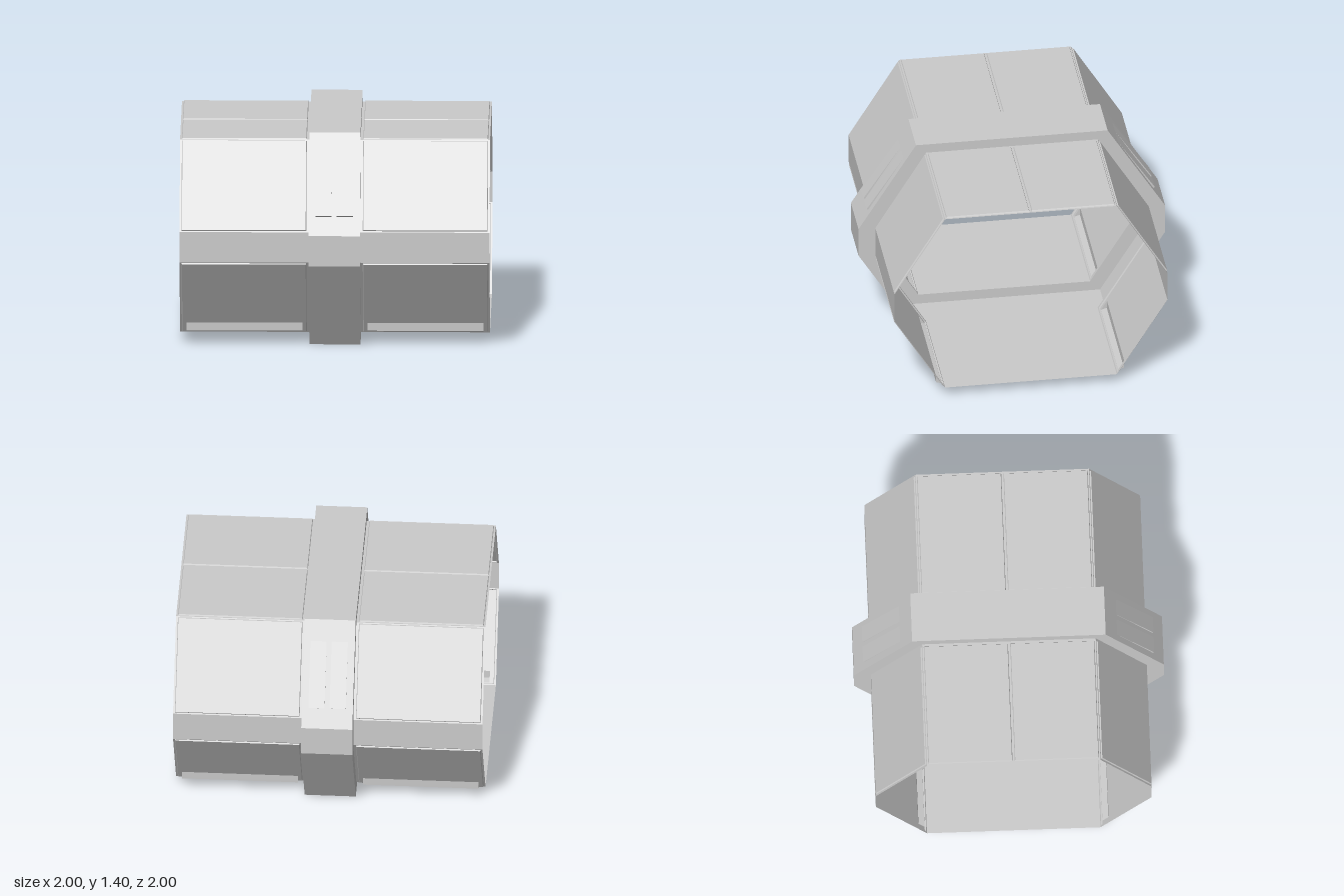
import * as THREE from 'three';

const material = new THREE.MeshStandardMaterial({ color: 0xcccccc, side: THREE.DoubleSide, flatShading: true });

// Half profiles [y, z], from bottom centre round the front to top centre
const HULL = [[0.067, 0], [0.067, 0.56], [0.6, 0.89], [0.8, 0.89], [1.338, 0.56], [1.338, 0]];
const BAND = [[0, 0], [0, 0.625], [0.6, 1], [0.8, 1], [1.4, 0.625], [1.4, 0]];
const RIB = 0.165; // half width of the central rib

function mesh(name, geometry) {
  const m = new THREE.Mesh(geometry, material);
  m.name = name;
  return m;
}

// Group whose local axes are: x along the tunnel, y along the facet, z outward
function facetFrame(name, a, b) {
  const g = new THREE.Group();
  g.name = name;
  const X = new THREE.Vector3(1, 0, 0);
  const V = new THREE.Vector3(0, b[0] - a[0], b[1] - a[1]);
  const length = V.length();
  V.normalize();
  const N = X.clone().cross(V);
  g.quaternion.setFromRotationMatrix(new THREE.Matrix4().makeBasis(X, V, N));
  g.position.set(0, a[0], a[1]);
  return { g, length };
}

const corners = ([x0, x1, v0, v1]) => [[x0, v0], [x1, v0], [x1, v1], [x0, v1]];

// Flat rectangular sheet with rectangular openings
function sheet(name, rect, holes = [], h = 0) {
  const toPoints = r => corners(r).map(p => new THREE.Vector2(...p));
  const shape = new THREE.Shape(toPoints(rect));
  holes.forEach(r => shape.holes.push(new THREE.Path(toPoints(r).reverse())));
  return mesh(name, new THREE.ShapeGeometry(shape).translate(0, 0, h));
}

// Surface from a few flat polygons, each split as a fan
function faces(name, polygons) {
  const pos = [];
  for (const p of polygons)
    for (let i = 1; i < p.length - 1; i++) pos.push(...p[0], ...p[i], ...p[i + 1]);
  const geo = new THREE.BufferGeometry();
  geo.setAttribute('position', new THREE.Float32BufferAttribute(pos, 3));
  geo.computeVertexNormals();
  return mesh(name, geo);
}

// Raised plate with a narrow bevelled border
function raisedPanel(g, rect, holes) {
  const h = 0.008, inset = 0.004;
  const [x0, x1, v0, v1] = rect;
  const top = [x0 + inset, x1 - inset, v0 + inset, v1 - inset];
  const lo = corners(rect), hi = corners(top);
  g.add(sheet('panel', top, holes, h));
  g.add(faces('panelBevel', lo.map((p, i) => {
    const j = (i + 1) % 4;
    return [[...p, 0], [...lo[j], 0], [...hi[j], h], [...hi[i], h]];
  })));
}

// Hollow wedge over an opening: section points [v, h] of foot, ridge and tip
function wedge(name, x0, x1, foot, ridge, tip) {
  const at = (x, p) => [x, ...p];
  return faces(name, [
    [at(x0, foot), at(x1, foot), at(x1, ridge), at(x0, ridge)],
    [at(x0, ridge), at(x1, ridge), at(x1, tip), at(x0, tip)],
    [at(x0, foot), at(x0, ridge), at(x0, tip)],
    [at(x1, foot), at(x1, tip), at(x1, ridge)],
  ]);
}

// One hull facet on one side of the rib
function hullFacet(i, side) {
  const names = ['floor', 'lowerSlope', 'sideWall', 'upperSlope', 'roof'];
  const { g, length } = facetFrame(names[i], HULL[i], HULL[i + 1]);
  const span = (a, b) => side > 0 ? [a, b] : [-b, -a];
  const rect = [...span(RIB, 1), 0, length];
  if (i === 0 || i === 2) {
    g.add(sheet('skin', rect));
    return g;
  }
  const panel = [...span(0.182, 0.988), 0.009, length - 0.007];
  g.add(sheet('skin', rect, [panel]));
  if (i === 1) {
    const vent = span(0.21, 0.958);
    raisedPanel(g, panel, [[...vent, 0.015, 0.091]]);
    g.add(wedge('ventLedge', ...vent, [0.015, 0.008], [0.045, 0.034], [0.091, 0.008]));
  } else raisedPanel(g, panel, []);
  return g;
}

// One outer facet of the rib, with two tapered flaps on the upper slope
function ribFacet(i) {
  const { g, length } = facetFrame('ribFacet', BAND[i], BAND[i + 1]);
  const flaps = i === 3 ? [[-0.123, -0.018], [0.014, 0.119]] : [];
  g.add(sheet('ribSkin', [-RIB, RIB, 0, length], flaps.map(f => [...f, 0.132, 0.566])));
  for (const f of flaps) g.add(wedge('ribFlap', ...f, [0.132, 0], [0.133, 0.012], [0.566, 0]));
  return g;
}

// Side wall of the rib: band outline with the hull outline cut out
function ribWall(x) {
  const loop = half => [...half.slice(1, 5), ...half.slice(1, 5).reverse().map(([y, z]) => [y, -z])]
    .map(([y, z]) => new THREE.Vector2(z, y));
  const shape = new THREE.Shape(loop(BAND));
  shape.holes.push(new THREE.Path(loop(HULL).reverse()));
  const geo = new THREE.ShapeGeometry(shape).rotateY(Math.sign(x) * Math.PI / 2);
  return mesh('ribWall', geo.translate(x, 0, 0));
}

export function createModel() {
  const model = new THREE.Group();
  model.name = 'tunnelSection';
  // Front half, then the same half turned round for the back
  for (const [name, turn] of [['frontHalf', 0], ['backHalf', Math.PI]]) {
    const half = new THREE.Group();
    half.name = name;
    half.rotation.y = turn;
    for (let i = 0; i < 5; i++) half.add(hullFacet(i, 1), hullFacet(i, -1), ribFacet(i));
    model.add(half);
  }
  model.add(ribWall(RIB), ribWall(-RIB));
  return model;
}
